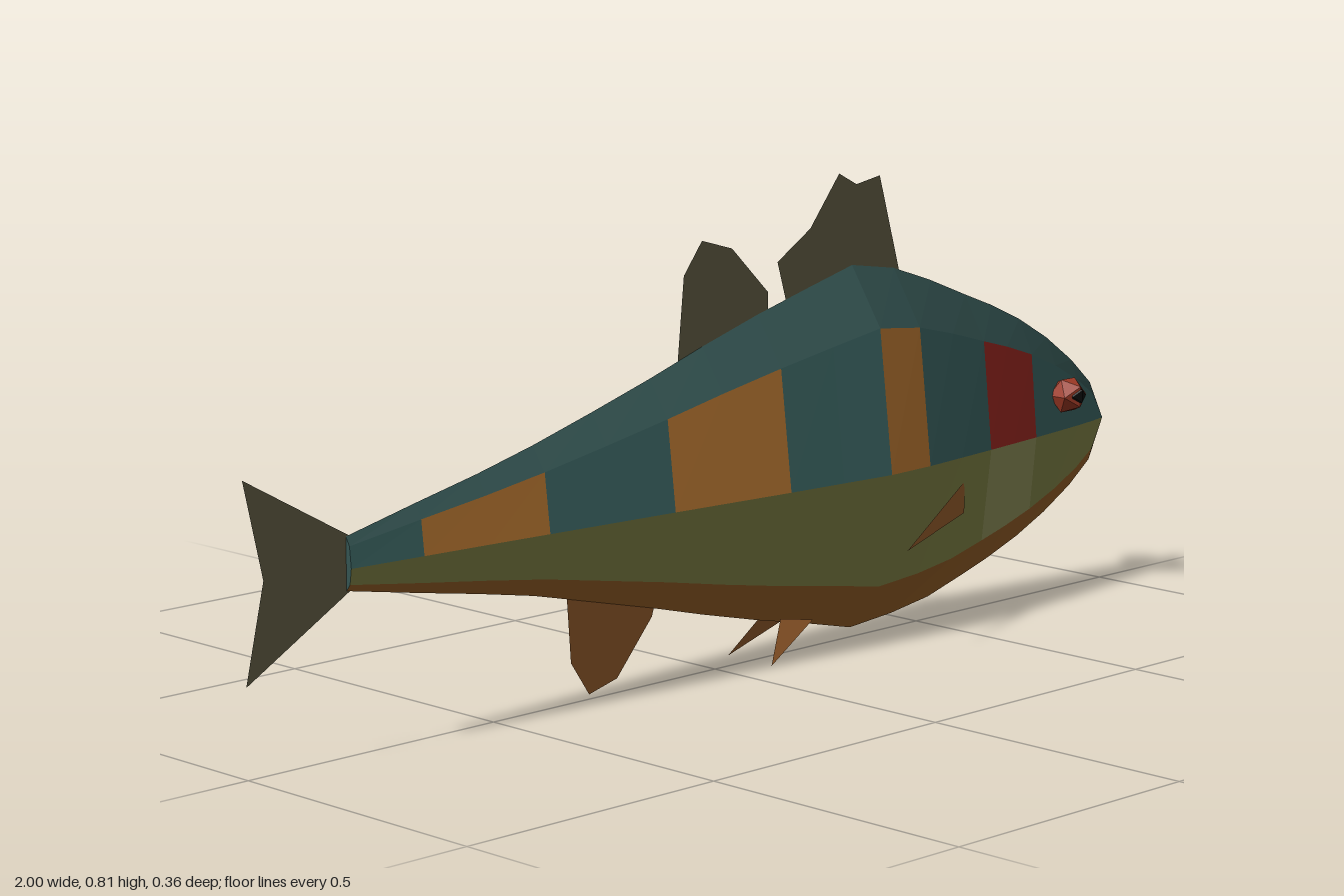
import * as THREE from 'three';

const COLORS = {
  back: 0x345452, flank: 0x3f6b69, stripe: 0xbd7a33, cheek: 0xa62b24,
  side: 0x878a4a, paleSide: 0x97985f, belly: 0xa0662a,
  fin: 0x6d684c, warmFin: 0xa0632f, eye: 0xa03a26, pupil: 0x0c0c0c,
};
const mat = (color) => new THREE.MeshStandardMaterial({
  color: COLORS[color], flatShading: true, side: THREE.DoubleSide,
});

// Body stations, tail to nose: x, height scale above, height scale below, half width
const STATIONS = [
  [-0.8, 0.14, 0.13, 0.012], [-0.66, 0.23, 0.22, 0.022], [-0.53, 0.31, 0.3, 0.031],
  [-0.41, 0.395, 0.38, 0.04], [-0.28, 0.5, 0.49, 0.05], [-0.15, 0.61, 0.6, 0.06],
  [-0.03, 0.72, 0.71, 0.07], [0.1, 0.83, 0.82, 0.081], [0.22, 0.92, 0.91, 0.089],
  [0.33, 1, 1, 0.097], [0.435, 0.955, 0.97, 0.09], [0.53, 0.865, 0.92, 0.078],
  [0.62, 0.765, 0.83, 0.066], [0.69, 0.69, 0.755, 0.056], [0.765, 0.595, 0.66, 0.045],
  [0.84, 0.475, 0.54, 0.033], [0.91, 0.335, 0.4, 0.021], [0.963, 0.2, 0.26, 0.01],
  [1, 0, 0, 0],
];
const MID = 0.3;

// Half cross-section from the back ridge down to the keel
const section = ([x, up, down, w], s) => [
  [x, MID + 0.352 * up, 0],
  [x, MID + 0.25 * up, s * w * 0.69],
  [x, MID, s * w],
  [x, MID - 0.2 * down, s * w * 0.69],
  [x, MID - 0.283 * down, 0],
];

// Stripe ranges along x; the two sides differ
const STRIPES = {
  1: [[-0.66, -0.41], [-0.15, 0.1], [0.33, 0.435]],
  [-1]: [[-0.66, -0.53], [0.435, 0.53]],
};
function patchColor(band, x, s) {
  const cheek = x > 0.62 && x < 0.765;
  if (band === 0) return 'back';
  if (band === 3) return 'belly';
  if (band === 2) return cheek ? 'paleSide' : 'side';
  if (cheek) return 'cheek';
  return STRIPES[s].some(([a, b]) => x > a && x < b) ? 'stripe' : 'flank';
}

function meshFrom(name, positions, color) {
  const g = new THREE.BufferGeometry();
  g.setAttribute('position', new THREE.Float32BufferAttribute(positions, 3));
  g.computeVertexNormals();
  const m = new THREE.Mesh(g, mat(color));
  m.name = name;
  return m;
}

function createBody() {
  const body = new THREE.Group();
  body.name = 'body';
  const patches = {};
  for (const s of [1, -1]) {
    for (let i = 0; i < STATIONS.length - 1; i++) {
      const p = section(STATIONS[i], s), q = section(STATIONS[i + 1], s);
      const x = (p[0][0] + q[0][0]) / 2;
      for (let j = 0; j < 4; j++) {
        const list = (patches[patchColor(j, x, s)] ??= []);
        const [a, b, c, d] = [p[j + 1], q[j + 1], q[j], p[j]];
        const tris = i === STATIONS.length - 2 ? [a, b, d] : [a, b, c, a, c, d];
        if (s < 0) tris.reverse();
        list.push(...tris.flat());
      }
    }
  }
  for (const [color, list] of Object.entries(patches)) body.add(meshFrom(color, list, color));

  // Closed tail end
  const l = section(STATIONS[0], 1), r = section(STATIONS[0], -1);
  const ring = [...l, r[3], r[2], r[1]], cap = [];
  for (let k = 1; k < ring.length - 1; k++) cap.push(...ring[0], ...ring[k + 1], ...ring[k]);
  body.add(meshFrom('tailEnd', cap, 'back'));
  return body;
}

// Thin upright fin on the centre plane
function flatFin(name, points, color) {
  const shape = new THREE.Shape(points.map(([x, y]) => new THREE.Vector2(x, y)));
  const m = new THREE.Mesh(new THREE.ShapeGeometry(shape), mat(color));
  m.name = name;
  return m;
}

function ball(name, r, x, y, z, color) {
  const m = new THREE.Mesh(new THREE.IcosahedronGeometry(r, 0), mat(color));
  m.position.set(x, y, z);
  m.name = name;
  return m;
}

export function createModel() {
  const fish = new THREE.Group();
  fish.name = 'fish';
  fish.add(createBody());

  fish.add(
    flatFin('tailFin', [[-0.79, 0.348], [-1, 0.465], [-0.963, 0.305], [-1, 0.145], [-0.79, 0.264]], 'fin'),
    flatFin('frontDorsalFin', [[0.18, 0.57], [0.148, 0.676], [0.227, 0.725], [0.297, 0.812],
      [0.34, 0.79], [0.398, 0.8], [0.45, 0.625], [0.33, 0.6]], 'fin'),
    flatFin('rearDorsalFin', [[-0.09, 0.5], [-0.072, 0.676], [-0.03, 0.73], [0.04, 0.71],
      [0.125, 0.628], [0.125, 0.56]], 'fin'),
    flatFin('analFin', [[-0.34, 0.2], [-0.33, 0.067], [-0.29, 0.008], [-0.227, 0.024],
      [-0.147, 0.115], [-0.13, 0.17]], 'warmFin'),
  );

  // Paired fins and eyes
  for (const s of [1, -1]) {
    const side = s > 0 ? 'left' : 'right';
    fish.add(
      meshFrom(side + 'PectoralFin',
        [0.548, 0.254, s * 0.068, 0.548, 0.198, s * 0.068, 0.28, 0.188, s * 0.18], 'warmFin'),
      meshFrom(side + 'PelvicFin',
        [0.135, 0.068, s * 0.022, 0.21, 0.055, s * 0.026, 0.083, 0, s * 0.052], 'warmFin'),
      ball(side + 'Eye', 0.035, 0.855, 0.365, s * 0.04, 'eye'),
      ball(side + 'Pupil', 0.021, 0.857, 0.366, s * 0.055, 'pupil'),
    );
  }
  return fish;
}
